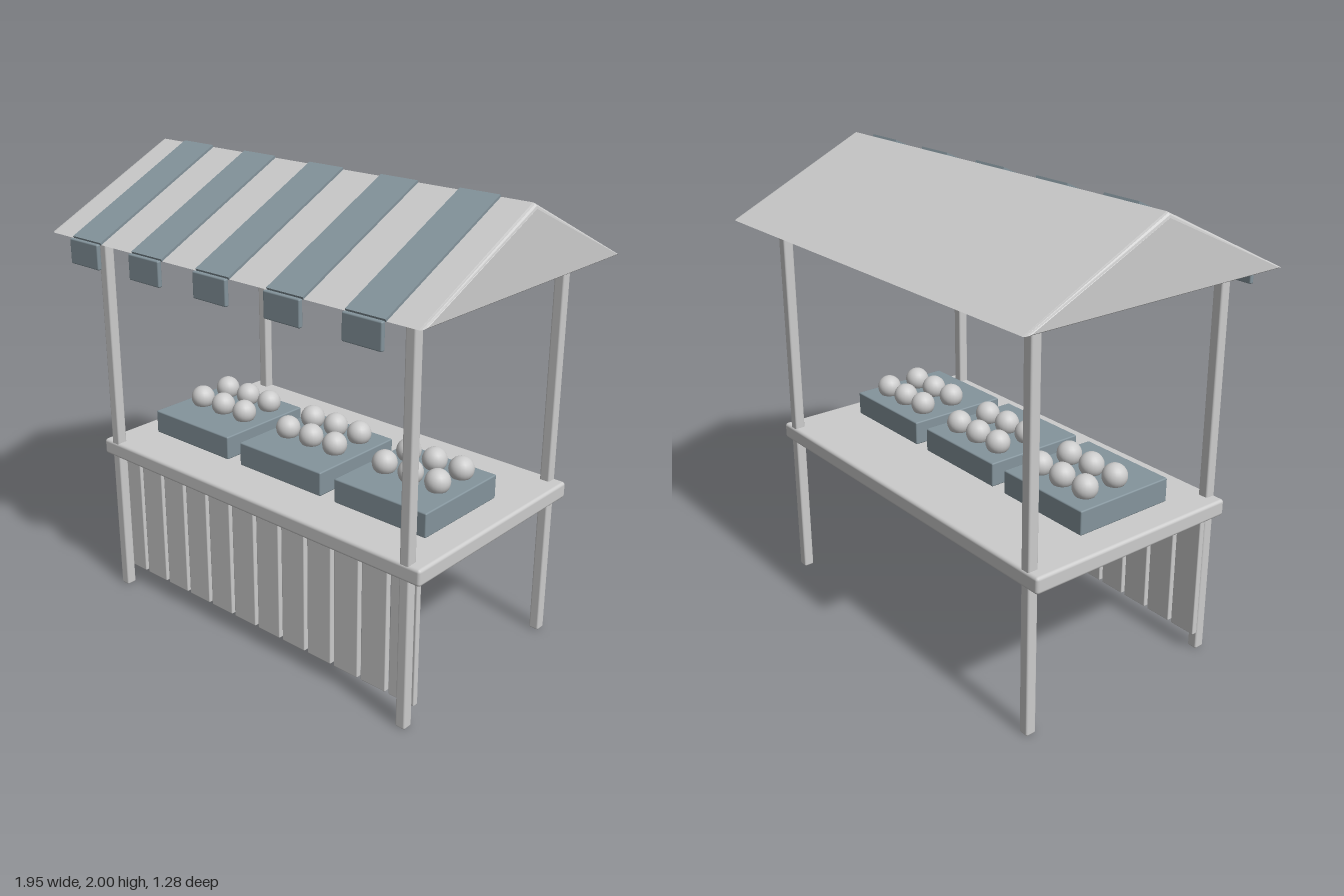
import * as THREE from 'three';
import { RoundedBoxGeometry } from 'three/addons/geometries/RoundedBoxGeometry.js';

const grey = new THREE.MeshStandardMaterial({ color: 0xcccccc });
const blue = new THREE.MeshStandardMaterial({ color: 0x84949c });

export function createModel() {
  const model = new THREE.Group();
  model.name = 'marketStall';

  const add = (name, geometry, material, x, y, z, parent = model) => {
    const mesh = new THREE.Mesh(geometry, material);
    mesh.name = name;
    mesh.position.set(x, y, z);
    parent.add(mesh);
    return mesh;
  };
  const box = (w, h, d, r) => new RoundedBoxGeometry(w, h, d, 2, r);

  // Corner posts
  const post = box(0.046, 1.7, 0.046, 0.008);
  for (const x of [-0.82, 0.82])
    for (const z of [0.464, -0.478])
      add(z > 0 ? 'frontPost' : 'backPost', post, grey, x, 0.85, z);

  // Counter top
  add('counter', box(1.79, 0.072, 0.996, 0.014), grey, 0, 0.685, -0.008);

  // Front boarding of separate planks
  const plank = box(0.126, 0.566, 0.026, 0.005);
  for (let i = 0; i < 12; i++)
    add('frontPlank', plank, grey, (i - 5.5) * 0.1425, 0.367, 0.424);

  // Crates, each with two rows of three fruits
  const crate = box(0.46, 0.105, 0.464, 0.006);
  const fruit = new THREE.SphereGeometry(0.053, 20, 14);
  for (const x of [-0.535, 0, 0.535]) {
    const group = new THREE.Group();
    group.name = 'fruitCrate';
    group.position.set(x, 0, 0);
    model.add(group);
    add('crate', crate, blue, 0, 0.777, 0.055, group);
    for (const fx of [-0.133, 0, 0.133])
      for (const fz of [0.088, -0.07])
        add('fruit', fruit, grey, fx, 0.863, fz, group);
  }

  // Gabled roof: a solid prism with softened ends
  const ridge = { z: -0.01, y: 1.99 };
  const eave = { z: 0.622, y: 1.682 };
  const gable = new THREE.Shape([
    new THREE.Vector2(eave.z, eave.y),
    new THREE.Vector2(ridge.z, ridge.y),
    new THREE.Vector2(-0.64, eave.y),
  ]);
  const bevel = 0.018;
  const roof = new THREE.ExtrudeGeometry(gable, {
    depth: 1.95 - 2 * bevel, bevelThickness: bevel, bevelSize: bevel,
    bevelOffset: -bevel, bevelSegments: 3,
  });
  roof.translate(0, 0, -(1.95 - 2 * bevel) / 2).rotateY(-Math.PI / 2);
  add('roof', roof, grey, 0, 0, 0);

  // Stripes down the front slope, each ending in a hanging flap
  const run = eave.z - ridge.z, drop = ridge.y - eave.y;
  const slope = Math.atan2(drop, run);
  const stripe = new THREE.BoxGeometry(0.176, 0.012, Math.hypot(run, drop));
  const flap = box(0.176, 0.106, 0.02, 0.006);
  for (let i = -2; i <= 2; i++) {
    const x = i * 0.368;
    add('roofStripe', stripe, blue, x,
      (ridge.y + eave.y) / 2 + 0.004 * Math.cos(slope),
      (ridge.z + eave.z) / 2 + 0.004 * Math.sin(slope)).rotation.x = slope;
    add('stripeFlap', flap, blue, x, 1.633, 0.635);
  }

  return model;
}
